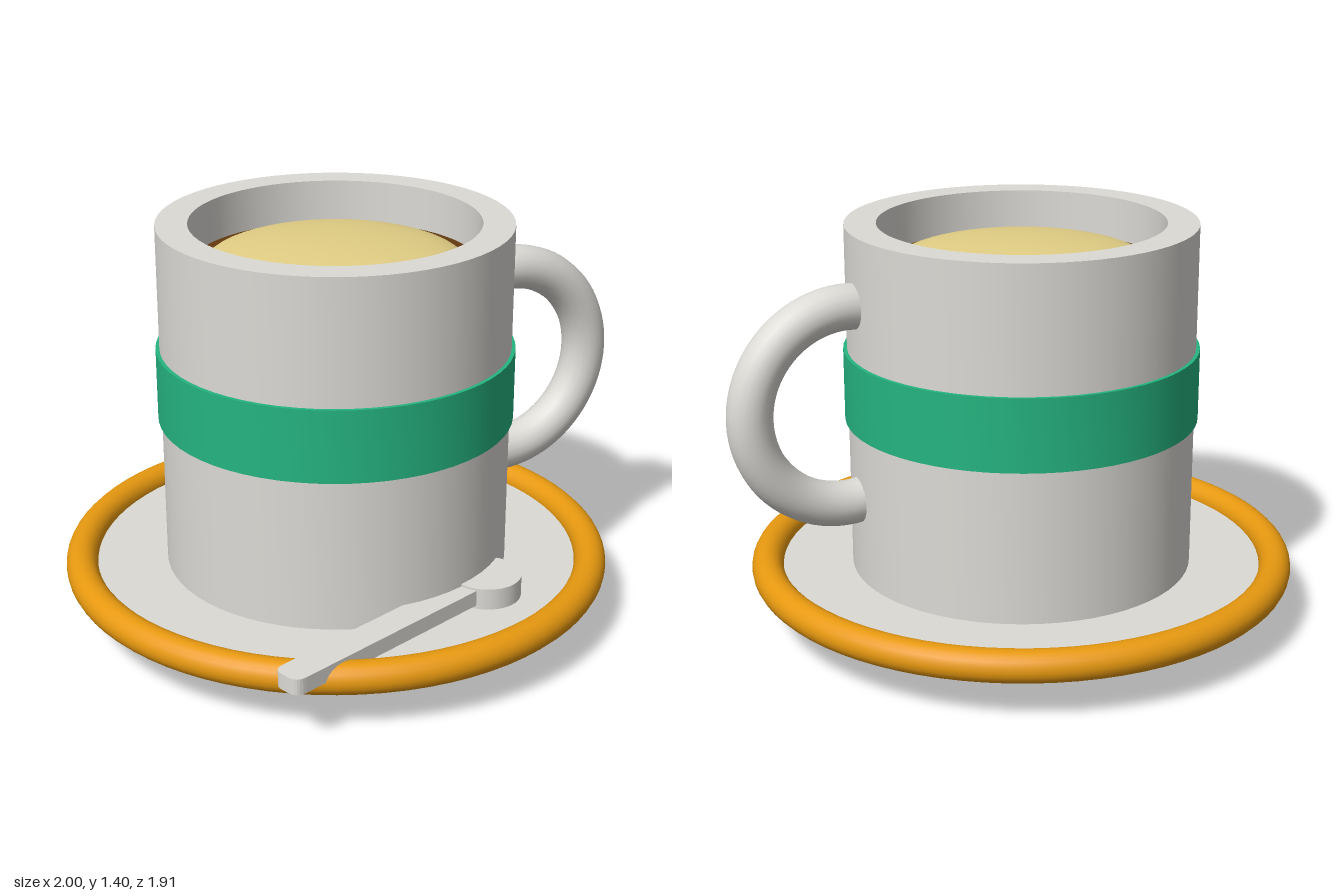
import * as THREE from 'three';
import { toCreasedNormals } from 'three/addons/utils/BufferGeometryUtils.js';

const CX = -0.047; // axis of cup and saucer

function material(name, color) {
  const m = new THREE.MeshStandardMaterial({ color });
  m.name = name;
  return m;
}

function add(parent, name, geometry, mat, x = 0, y = 0, z = 0) {
  const mesh = new THREE.Mesh(geometry, mat);
  mesh.name = name;
  mesh.position.set(x, y, z);
  parent.add(mesh);
  return mesh;
}

// Turned part with crisp edges; profile listed as [radius, height]
function turned(profile, segments = 64) {
  const points = profile.map(([r, y]) => new THREE.Vector2(r, y));
  return toCreasedNormals(new THREE.LatheGeometry(points, segments), 0.45);
}

export function createModel() {
  const model = new THREE.Group();
  model.name = 'cupAndSaucer';
  const ceramic = material('ceramic', 0xdcdad5);
  const orange = material('orangeGlaze', 0xe99a10);
  const green = material('greenBand', 0x25b481);
  const coffeeBrown = material('coffee', 0x63380f);
  const cream = material('foam', 0xe2cf85);

  // Saucer: shallow cone with a rounded rim
  add(model, 'saucer', turned([[0, 0], [0.572, 0], [0.905, 0.19], [0, 0.19]]), ceramic, CX);
  const rim = add(model, 'saucerRim', new THREE.TorusGeometry(0.898, 0.055, 20, 80), orange, CX, 0.19);
  rim.rotation.x = Math.PI / 2;

  // Cup: thick wall, open at the top
  add(model, 'cup', turned([
    [0, 0.18], [0.598, 0.18], [0.598, 1.4], [0.49, 1.4], [0.49, 0.3], [0, 0.3],
  ]), ceramic, CX);
  add(model, 'band', turned([
    [0.59, 0.72], [0.611, 0.72], [0.611, 0.97], [0.59, 0.97],
  ]), green, CX);

  // Drink with a low dome of foam
  add(model, 'coffee', turned([[0.491, 1.2], [0.491, 1.25], [0, 1.25]]), coffeeBrown, CX);
  const dome = new THREE.SphereGeometry(0.444, 48, 16, 0, Math.PI * 2, 0, Math.PI / 2);
  dome.scale(1, 0.18, 1);
  add(model, 'foam', dome, cream, CX, 1.25);

  // Handle: arc a little beyond a half circle, its ends sunk in the wall
  const sweep = Math.PI * 1.16;
  const handle = add(model, 'handle', new THREE.TorusGeometry(0.343, 0.077, 20, 48, sweep), ceramic, 0.58, 0.82, 0.075);
  handle.rotation.z = -sweep / 2;

  // Spoon: flat round bowl and a straight stem resting over the rim
  const spoon = new THREE.Group();
  spoon.name = 'spoon';
  spoon.position.set(0.245, 0, 0.54);
  spoon.rotation.y = 0.302;
  model.add(spoon);
  add(spoon, 'spoonBowl', new THREE.CylinderGeometry(0.12, 0.12, 0.08, 40), ceramic, 0, 0.225);

  const w = 0.053, end = -0.93, c = 0.04;
  const stem = new THREE.Shape();
  stem.moveTo(0, -w);
  stem.lineTo(0, w);
  stem.lineTo(end + c, w);
  stem.quadraticCurveTo(end, w, end, w - c);
  stem.lineTo(end, -w + c);
  stem.quadraticCurveTo(end, -w, end + c, -w);
  const stemGeometry = new THREE.ExtrudeGeometry(stem, { depth: 0.055, bevelEnabled: false, curveSegments: 6 });
  stemGeometry.rotateX(-Math.PI / 2);
  add(spoon, 'spoonStem', stemGeometry, ceramic, 0, 0.202);

  return model;
}
